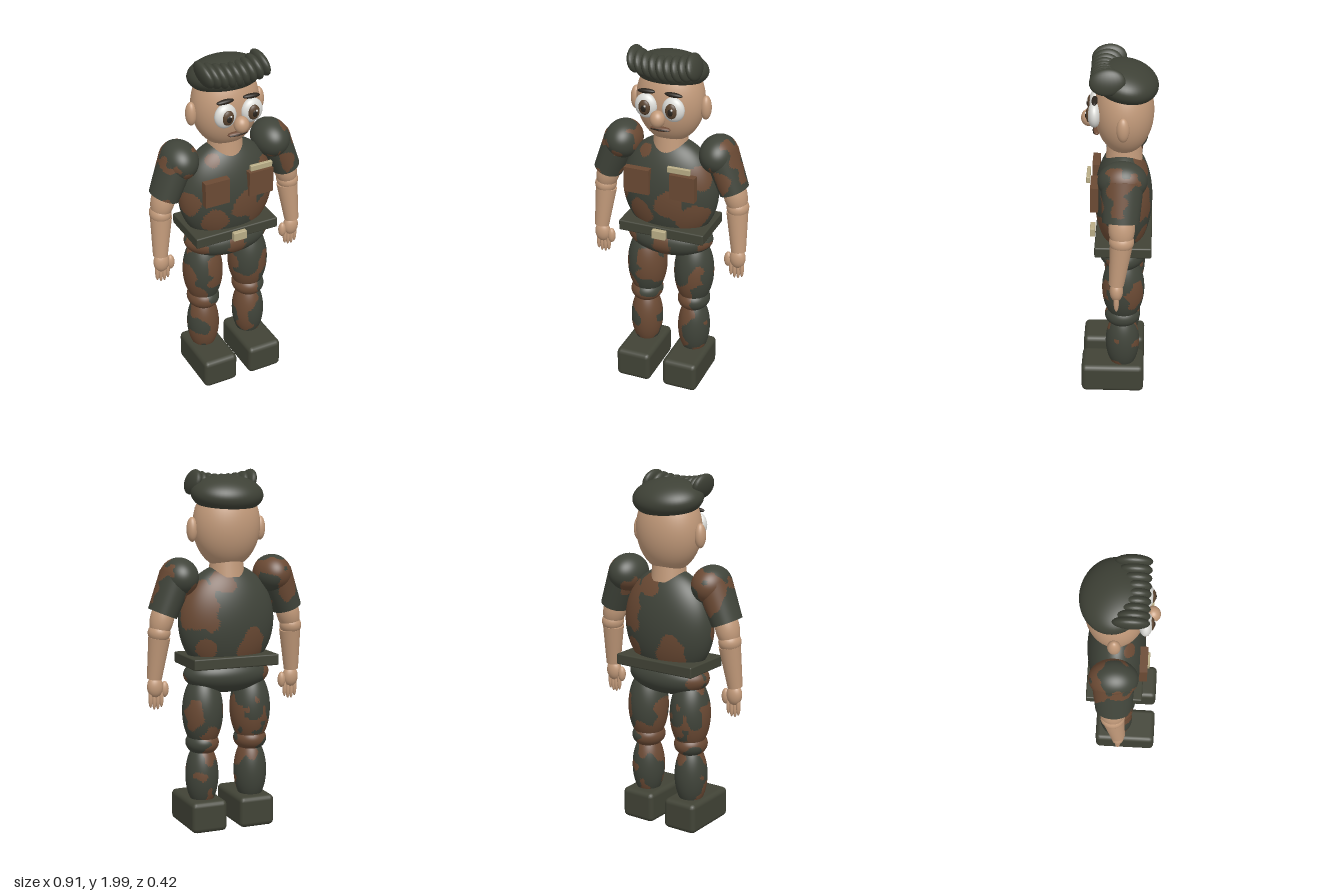
import * as THREE from 'three';
import { RoundedBoxGeometry } from 'three/addons/geometries/RoundedBoxGeometry.js';

const COLORS = {
  clothGreen: 0x40443a, clothBrown: 0x6b4a34, skin: 0xc29a7a, leatherGreen: 0x414336, hairGreen: 0x3e4136,
  brassTan: 0xb9ad86, eyeWhite: 0xdcdcd8, irisBrown: 0x59432f, dark: 0x2a241d, lipBrown: 0x6f4c38,
};

// Smooth value noise for the camouflage pattern
const hash = (x, y, z) => {
  const s = Math.sin(x * 127.1 + y * 311.7 + z * 74.7) * 43758.5453;
  return s - Math.floor(s);
};
function noise(x, y, z) {
  const i = [x, y, z].map(Math.floor);
  const f = [x - i[0], y - i[1], z - i[2]].map((t) => t * t * (3 - 2 * t));
  let sum = 0;
  for (let c = 0; c < 8; c++) {
    const d = [c & 1, (c >> 1) & 1, c >> 2];
    const w = d.reduce((p, v, k) => p * (v ? f[k] : 1 - f[k]), 1);
    sum += w * hash(i[0] + d[0], i[1] + d[1], i[2] + d[2]);
  }
  return sum;
}
const wobble = (p) => noise(p.x * 9 + 3, p.y * 9, p.z * 9 + 7) * 0.7 + noise(p.x * 22, p.y * 22 + 5, p.z * 22) * 0.3;
const limbPattern = (p) => wobble(p) > 0.56;

// Large patches on the torso: centre and radius
const PATCHES = [
  [0.03, 1.13, 0.12, 0.09], [0.17, 1.06, 0.08, 0.08], [-0.12, 1.05, 0.1, 0.07], [-0.12, 1.42, 0.06, 0.04],
  [0.22, 1.3, 0.04, 0.07], [-0.24, 1.16, 0.02, 0.06], [0.2, 1.27, -0.12, 0.13], [0.06, 1.4, -0.13, 0.07],
  [-0.1, 1.03, -0.16, 0.1], [0.16, 1.03, -0.13, 0.06],
];
const torsoPattern = (p) =>
  PATCHES.some(([x, y, z, r]) => Math.hypot(p.x - x, p.y - y, p.z - z) < r * (0.45 + 1.2 * wobble(p)));
const pocketPattern = (p) => wobble(p) > 0.33;

export function createModel() {
  const root = new THREE.Group();
  root.name = 'soldierFigure';
  const mats = {};
  for (const [name, color] of Object.entries(COLORS)) {
    mats[name] = new THREE.MeshStandardMaterial({ color });
    mats[name].name = name;
  }

  const add = (name, geometry, material) => {
    const mesh = new THREE.Mesh(geometry, material);
    mesh.name = name;
    root.add(mesh);
    return mesh;
  };

  // Sorts the triangles into green and brown groups
  function addCamo(name, geometry, pattern = limbPattern) {
    const pos = geometry.attributes.position;
    const lists = [[], []];
    const mid = new THREE.Vector3(), v = new THREE.Vector3();
    for (let t = 0; t < geometry.index.count; t += 3) {
      const tri = [0, 1, 2].map((k) => geometry.index.getX(t + k));
      mid.set(0, 0, 0);
      tri.forEach((k) => mid.addScaledVector(v.fromBufferAttribute(pos, k), 1 / 3));
      lists[pattern(mid) ? 1 : 0].push(...tri);
    }
    geometry.setIndex([...lists[0], ...lists[1]]);
    geometry.clearGroups();
    geometry.addGroup(0, lists[0].length, 0);
    geometry.addGroup(lists[0].length, lists[1].length, 1);
    return add(name, geometry, [mats.clothGreen, mats.clothBrown]);
  }

  // Ellipsoid from centre, radii and optional tilt
  function blob(c, r, { rx = 0, rz = 0, seg = 32 } = {}) {
    const g = new THREE.SphereGeometry(1, seg, Math.round(seg * 0.7));
    return g.scale(...r).rotateX(rx).rotateZ(rz).translate(...c);
  }

  // Tapered limb between two points; depth stretches it along z
  function limb(a, b, ra, rb, depth = 1, seg = 32, rows = 1) {
    const A = new THREE.Vector3(...a), B = new THREE.Vector3(...b);
    const dir = A.clone().sub(B);
    const g = new THREE.CylinderGeometry(ra, rb, dir.length(), seg, rows);
    g.scale(1, 1, depth);
    g.applyQuaternion(new THREE.Quaternion().setFromUnitVectors(new THREE.Vector3(0, 1, 0), dir.normalize()));
    const m = A.add(B).multiplyScalar(0.5);
    return g.translate(m.x, m.y, m.z);
  }
  const box = (c, s, r = 0.008) => new RoundedBoxGeometry(...s, 2, r).translate(...c);

  // Torso, pelvis and belt
  addCamo('torso', blob([0, 1.175, -0.027], [0.278, 0.312, 0.158], { seg: 112 }), torsoPattern);
  addCamo('pelvis', blob([0, 0.88, -0.027], [0.25, 0.107, 0.148], { seg: 72 }));
  add('belt', box([0, 0.96, -0.03], [0.5, 0.062, 0.31]), mats.leatherGreen);
  add('beltBuckle', box([0, 0.96, 0.145], [0.08, 0.052, 0.028], 0.004), mats.brassTan);
  add('chestBadge', box([0.121, 1.374, 0.156], [0.13, 0.034, 0.02], 0.004), mats.brassTan);
  add('neck', limb([0, 1.56, -0.03], [0, 1.42, -0.03], 0.085, 0.1), mats.skin);

  for (const s of [1, -1]) {
    const side = s > 0 ? 'left' : 'right';
    // Pocket
    addCamo(side + 'Pocket', new THREE.BoxGeometry(0.145, 0.145, 0.042, 32, 32, 8).translate(s * 0.132, 1.262, 0.125), pocketPattern);

    // Leg and boot
    addCamo(side + 'Thigh', blob([s * 0.143, 0.675, -0.03], [0.113, 0.215, 0.118], { seg: 72 }));
    addCamo(side + 'Knee', blob([s * 0.145, 0.497, -0.026], [0.092, 0.07, 0.1], { seg: 64 }));
    addCamo(side + 'Shin', blob([s * 0.147, 0.31, -0.026], [0.092, 0.19, 0.096], { seg: 72 }));
    add(side + 'Boot', box([s * 0.143, 0.093, 0.03], [0.207, 0.175, 0.358], 0.028), mats.leatherGreen);

    // Sleeve
    addCamo(side + 'Shoulder', blob([s * 0.277, 1.422, -0.028], [0.103, 0.106, 0.13], { seg: 64 }));
    addCamo(side + 'Sleeve', limb([s * 0.292, 1.43, -0.028], [s * 0.372, 1.228, -0.022], 0.092, 0.08, 1.22, 64, 24));

    // Bare arm
    add(side + 'UpperArm', blob([s * 0.377, 1.2, -0.027], [0.064, 0.115, 0.07], { rz: s * 0.25 }), mats.skin);
    add(side + 'Elbow', blob([s * 0.394, 1.125, -0.027], [0.061, 0.057, 0.066]), mats.skin);
    add(side + 'Forearm', limb([s * 0.392, 1.1, -0.025], [s * 0.414, 0.87, 0], 0.06, 0.041), mats.skin);
    add(side + 'Palm', blob([s * 0.41, 0.825, 0], [0.045, 0.06, 0.036]), mats.skin);
    add(side + 'Thumb', blob([s * 0.355, 0.808, 0], [0.023, 0.044, 0.022], { seg: 20 }), mats.skin);
    for (let i = 0; i < 4; i++) {
      const x = 0.374 + i * 0.021, drop = i === 0 || i === 3 ? 0.012 : 0;
      add(side + 'Finger' + (i + 1), blob([s * x, 0.752 + drop, 0], [0.012, 0.055, 0.014], { seg: 16 }), mats.skin);
    }

    // Face features
    add(side + 'Ear', blob([s * 0.2, 1.677, -0.028], [0.03, 0.067, 0.034]), mats.skin);
    add(side + 'EyeWhite', blob([s * 0.077, 1.705, 0.125], [0.062, 0.068, 0.036]), mats.eyeWhite);
    add(side + 'Iris', blob([s * 0.075, 1.705, 0.153], [0.033, 0.042, 0.017]), mats.irisBrown);
    add(side + 'Pupil', blob([s * 0.075, 1.703, 0.165], [0.016, 0.021, 0.008], { seg: 20 }), mats.dark);
    add(side + 'EyeGlint', blob([s * 0.075 + 0.009, 1.718, 0.17], [0.006, 0.006, 0.004], { seg: 12 }), mats.eyeWhite);
    add(side + 'Eyebrow', blob([s * 0.076, 1.785, 0.122], [0.05, 0.013, 0.016], { rz: s * -0.04, seg: 20 }), mats.dark);
  }

  // Head, nose and mouth
  add('head', blob([0, 1.7, -0.03], [0.189, 0.24, 0.158], { seg: 48 }), mats.skin);
  add('nose', blob([0, 1.652, 0.158], [0.041, 0.047, 0.041]), mats.skin);
  add('mouth', blob([0, 1.58, 0.115], [0.058, 0.014, 0.02], { seg: 24 }), mats.lipBrown);
  const smile = new THREE.QuadraticBezierCurve3(
    new THREE.Vector3(-0.05, 1.577, 0.125), new THREE.Vector3(0, 1.586, 0.145), new THREE.Vector3(0.05, 1.577, 0.125));
  add('mouthLine', new THREE.TubeGeometry(smile, 16, 0.0035, 6), mats.dark);

  // Hair: tilted cap and a row of leaning curls over the forehead
  add('hairCap', blob([0, 1.865, -0.04], [0.202, 0.1, 0.172], { rx: -0.2, seg: 48 }), mats.hairGreen);
  const curlCount = 9;
  for (let i = 0; i < curlCount; i++) {
    const t = (i / (curlCount - 1)) * 2 - 1;
    const dip = 1 - t * t;
    const c = [t * 0.163, 1.928 - dip * 0.025, 0.053 + dip * 0.022];
    add('hairCurl' + (i + 1), blob(c, [0.032, 0.07, 0.093 - dip * 0.022], { rx: 0.1, rz: 0.28, seg: 24 }), mats.hairGreen);
  }
  return root;
}
